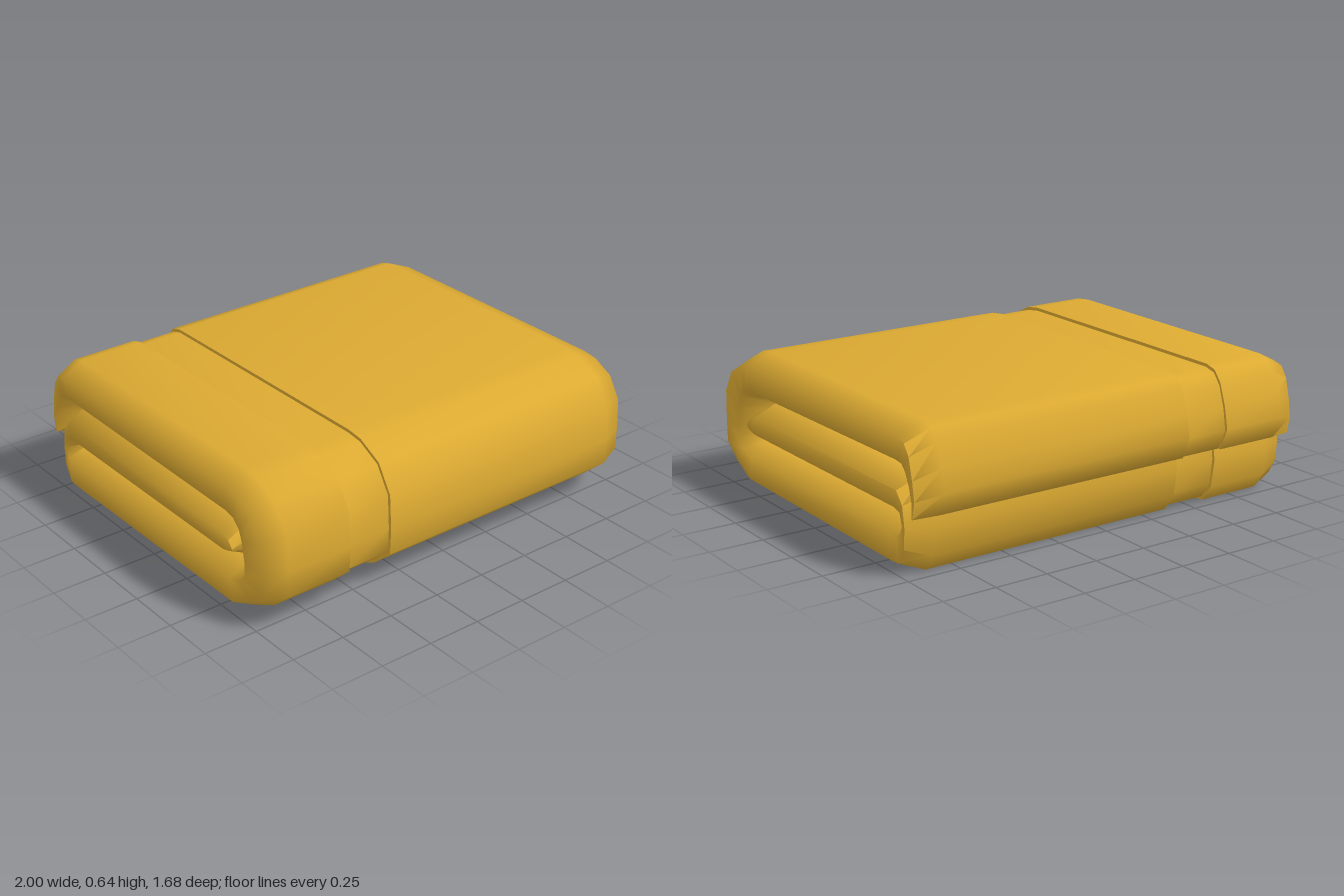
import * as THREE from 'three';
import { toCreasedNormals } from 'three/addons/utils/BufferGeometryUtils.js';

// Folded sheet in section: [outer z, outer y, inner z, inner y], followed along the fold
const FOLD = [
  // hanging back flap
  [-0.80, 0.27, -0.765, 0.27],
  [-0.84, 0.37, -0.745, 0.31],
  [-0.82, 0.47, -0.735, 0.36],
  [-0.785, 0.57, -0.72, 0.41],
  [-0.745, 0.62, -0.70, 0.435],
  [-0.69, 0.635, -0.66, 0.44],
  // top layer and front fold
  [0.56, 0.64, 0.55, 0.43],
  [0.64, 0.63, 0.60, 0.42],
  [0.76, 0.57, 0.615, 0.395],
  [0.835, 0.45, 0.62, 0.36],
  [0.845, 0.29, 0.63, 0.29],
  [0.84, 0.17, 0.63, 0.245],
  [0.74, 0.08, 0.61, 0.225],
  [0.60, 0.01, 0.56, 0.21],
  // bottom layer and back fold
  [-0.62, 0, -0.62, 0.212],
  [-0.69, 0.005, -0.65, 0.215],
  [-0.745, 0.08, -0.665, 0.218],
  [-0.765, 0.21, -0.67, 0.225],
  [-0.74, 0.35, -0.665, 0.232],
  [-0.68, 0.41, -0.64, 0.237],
  // tucked middle layer
  [0.53, 0.41, 0.53, 0.235],
  [0.57, 0.395, 0.57, 0.245],
  [0.595, 0.34, 0.592, 0.28],
];

// Closed outline at x, with both faces of the sheet moved inward by inset
function ring(x, inset) {
  const outer = [], inner = [];
  for (const [oz, oy, iz, iy] of FOLD) {
    const t = Math.min(inset / Math.hypot(iz - oz, iy - oy), 0.4);
    const dz = (iz - oz) * t, dy = (iy - oy) * t;
    outer.push([x, oy + dy, oz + dz]);
    inner.unshift([x, iy - dy, iz - dz]);
  }
  return [...outer, ...inner];
}

// Skin between successive [x, inset] rings, with optional end caps
function section(name, rows, material, capStart, capEnd) {
  const n = FOLD.length * 2;
  const position = rows.flatMap(([x, inset]) => ring(x, inset).flat());
  const index = [];
  for (let r = 0; r < rows.length - 1; r++) {
    for (let j = 0; j < n; j++) {
      const a = r * n + j, b = r * n + (j + 1) % n;
      index.push(a, b, a + n, b, b + n, a + n);
    }
  }
  const last = (rows.length - 1) * n;
  for (let k = 0; k < FOLD.length - 1; k++) {
    const o = k, p = k + 1, q = n - 2 - k, i = n - 1 - k;
    if (capStart) index.push(o, q, p, o, i, q);
    if (capEnd) index.push(last + o, last + p, last + q, last + o, last + q, last + i);
  }
  const geometry = new THREE.BufferGeometry();
  geometry.setAttribute('position', new THREE.Float32BufferAttribute(position, 3));
  geometry.setIndex(index);
  const mesh = new THREE.Mesh(toCreasedNormals(geometry, 1.25), material);
  mesh.name = name;
  return mesh;
}

export function createModel() {
  const group = new THREE.Group();
  group.name = 'foldedTowel';
  const cloth = new THREE.MeshStandardMaterial({ color: 0xdcaa32, side: THREE.DoubleSide });

  // Narrow hem, sunken woven band and wide body, with tapered ends
  group.add(
    section('hem', [[-1, 0.05], [-0.9, 0], [-0.59, 0]], cloth, true, false),
    section('wovenBand', [[-0.59, 0], [-0.59, 0.015], [-0.375, 0.015], [-0.375, 0]], cloth, false, false),
    section('body', [[-0.375, 0], [0.88, 0], [1, 0.05]], cloth, false, true),
  );
  return group;
}
